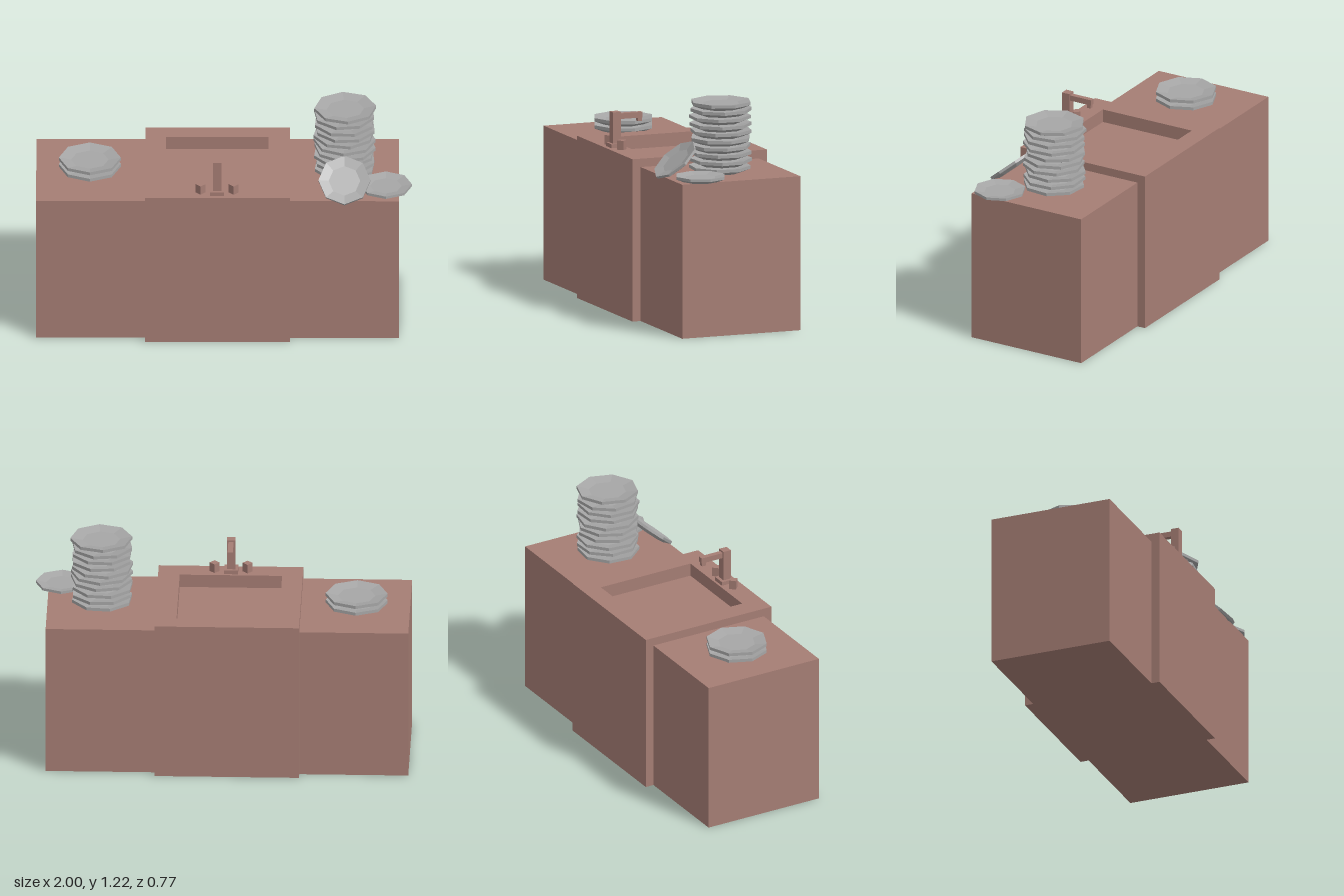
import * as THREE from 'three';

export function createModel() {
  const model = new THREE.Group();
  const clay = new THREE.MeshStandardMaterial({ color: 0xa57d74 });
  clay.name = 'clay brown';
  const grey = new THREE.MeshStandardMaterial({ color: 0xa6a6a6 });
  grey.name = 'plate grey';

  // Box given by its low and high corners
  function box(name, x0, x1, y0, y1, z0, z1, parent = model) {
    const mesh = new THREE.Mesh(new THREE.BoxGeometry(x1 - x0, y1 - y0, z1 - z0), clay);
    mesh.name = name;
    mesh.position.set((x0 + x1) / 2, (y0 + y1) / 2, (z0 + z1) / 2);
    parent.add(mesh);
    return mesh;
  }

  // Counters on both sides of the sink
  const counterTop = 0.832;
  box('rightCounter', -1, -0.42, 0, counterTop, -0.34, 0.34);
  box('leftCounter', 0.35, 0.93, 0, counterTop, -0.34, 0.34);

  // Sink: solid body below, frame with a rectangular opening above
  const floorY = 0.805, sinkTop = 0.877;
  box('sinkBody', -0.42, 0.35, 0, floorY, -0.387, 0.387);
  const rect = (P, x0, x1, y0, y1) => new P([
    [x0, y0], [x1, y0], [x1, y1], [x0, y1],
  ].map(([x, y]) => new THREE.Vector2(x, y)));
  const rim = rect(THREE.Shape, -0.42, 0.35, -0.387, 0.387);
  rim.holes.push(rect(THREE.Path, -0.31, 0.235, -0.272, 0.28)); // shape y is -z
  const rimGeo = new THREE.ExtrudeGeometry(rim, { depth: sinkTop - floorY, bevelEnabled: false });
  rimGeo.rotateX(-Math.PI / 2).translate(0, floorY, 0);
  const sinkRim = new THREE.Mesh(rimGeo, clay);
  sinkRim.name = 'sinkRim';
  model.add(sinkRim);

  // Faucet and its two handles
  const faucet = new THREE.Group();
  faucet.name = 'faucet';
  model.add(faucet);
  box('faucetBase', -0.075, 0, sinkTop, 0.898, 0.285, 0.363, faucet);
  box('faucetPost', -0.06, -0.015, 0.898, 1.067, 0.303, 0.348, faucet);
  box('faucetSpout', -0.051, -0.023, 1.027, 1.057, 0.174, 0.303, faucet);
  box('faucetNozzle', -0.049, -0.025, 1.008, 1.027, 0.178, 0.2, faucet);
  for (const x of [-0.125, 0.051]) {
    const handle = box('faucetHandle', x - 0.019, x + 0.019, sinkTop, 0.927, 0.306, 0.344, faucet);
    handle.rotation.y = Math.PI / 4;
  }

  // Eight-sided plate with sloped underside, upright rim and shallow dish
  const profile = [[0, 0], [0.115, 0], [0.165, 0.02], [0.165, 0.037], [0.1, 0.024], [0, 0.024]];
  const plateGeo = new THREE.LatheGeometry(profile.map(([r, y]) => new THREE.Vector2(r, y)), 8)
    .toNonIndexed();
  plateGeo.computeVertexNormals();
  function plate(name, x, y, z, turn = 0, scale = 1) {
    const mesh = new THREE.Mesh(plateGeo, grey);
    mesh.name = name;
    mesh.position.set(x, y, z);
    mesh.rotation.y = turn;
    mesh.scale.setScalar(scale);
    model.add(mesh);
    return mesh;
  }

  // Tall stack, each plate slightly turned and shifted
  const step = 0.0387;
  for (let i = 0; i < 10; i++) {
    plate('stackedPlate', 0.64 + 0.004 * Math.sin(i * 2.3), counterTop + i * step,
      0.004 * Math.cos(i * 1.9), 0.35 * Math.sin(i * 3.7 + 1));
  }
  // Short stack
  for (let i = 0; i < 2; i++) plate('shortStackPlate', -0.715, counterTop + i * step, 0);

  // Small plate lying at the corner, and one leaning on the stack
  plate('cornerPlate', 0.86, counterTop, 0.207, 0, 0.84);
  plate('leaningPlate', 0.64, 0.895, 0.245, 0, 0.84).rotation.x = 0.7;

  return model;
}
